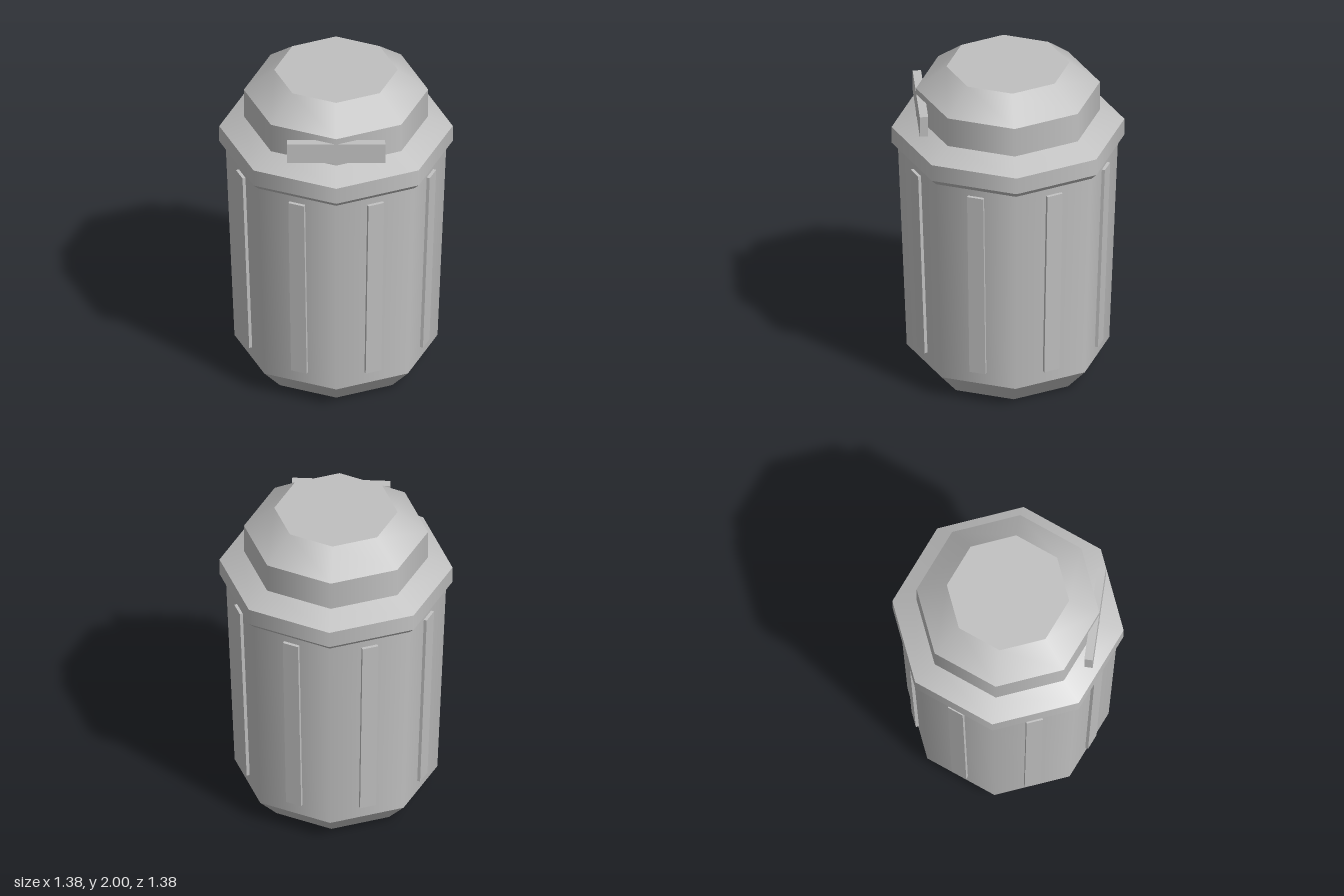
import * as THREE from 'three';
import { mergeGeometries } from 'three/addons/utils/BufferGeometryUtils.js';

const SIDES = 8;

// Eight-sided turned shell: smooth around, with a crisp edge between profile bands
function turned(name, profile, material) {
  const bands = [];
  for (let i = 0; i < profile.length - 1; i++) {
    const pair = [profile[i], profile[i + 1]].map(([r, y]) => new THREE.Vector2(r, y));
    bands.push(new THREE.LatheGeometry(pair, SIDES));
  }
  const mesh = new THREE.Mesh(mergeGeometries(bands), material);
  mesh.name = name;
  return mesh;
}

export function createModel() {
  const model = new THREE.Group();
  model.name = 'trashCan';
  const grey = new THREE.MeshStandardMaterial({ color: 0xc0c0c0 });
  grey.name = 'grey';

  // Tapered bin with a chamfered foot
  model.add(turned('body', [[0, 0], [0.47, 0], [0.6, 0.14], [0.652, 1.47]], grey));

  // Overhanging rim with a sloped shoulder
  model.add(turned('lidRim', [[0.62, 1.455], [0.645, 1.455], [0.69, 1.5], [0.69, 1.605], [0.545, 1.675]], grey));

  // Domed lid with a flat top
  model.add(turned('lidDome', [[0.545, 1.675], [0.545, 1.86], [0.365, 2], [0, 2]], grey));

  // Flap bar across the front of the lid
  const flap = new THREE.Mesh(new THREE.BoxGeometry(0.58, 0.13, 0.05), grey);
  flap.name = 'lidFlap';
  flap.position.set(0, 1.757, 0.519);
  model.add(flap);

  // One raised rib on the middle of every side, leaning with the taper
  const ribs = new THREE.Group();
  ribs.name = 'ribs';
  const ribGeometry = new THREE.BoxGeometry(0.1, 1.2, 0.06);
  ribGeometry.rotateX(0.036);
  ribGeometry.translate(0, 0.82, 0.568);
  for (let i = 0; i < SIDES; i++) {
    const rib = new THREE.Mesh(ribGeometry, grey);
    rib.name = 'rib';
    rib.rotation.y = ((i + 0.5) / SIDES) * Math.PI * 2;
    ribs.add(rib);
  }
  model.add(ribs);

  return model;
}
